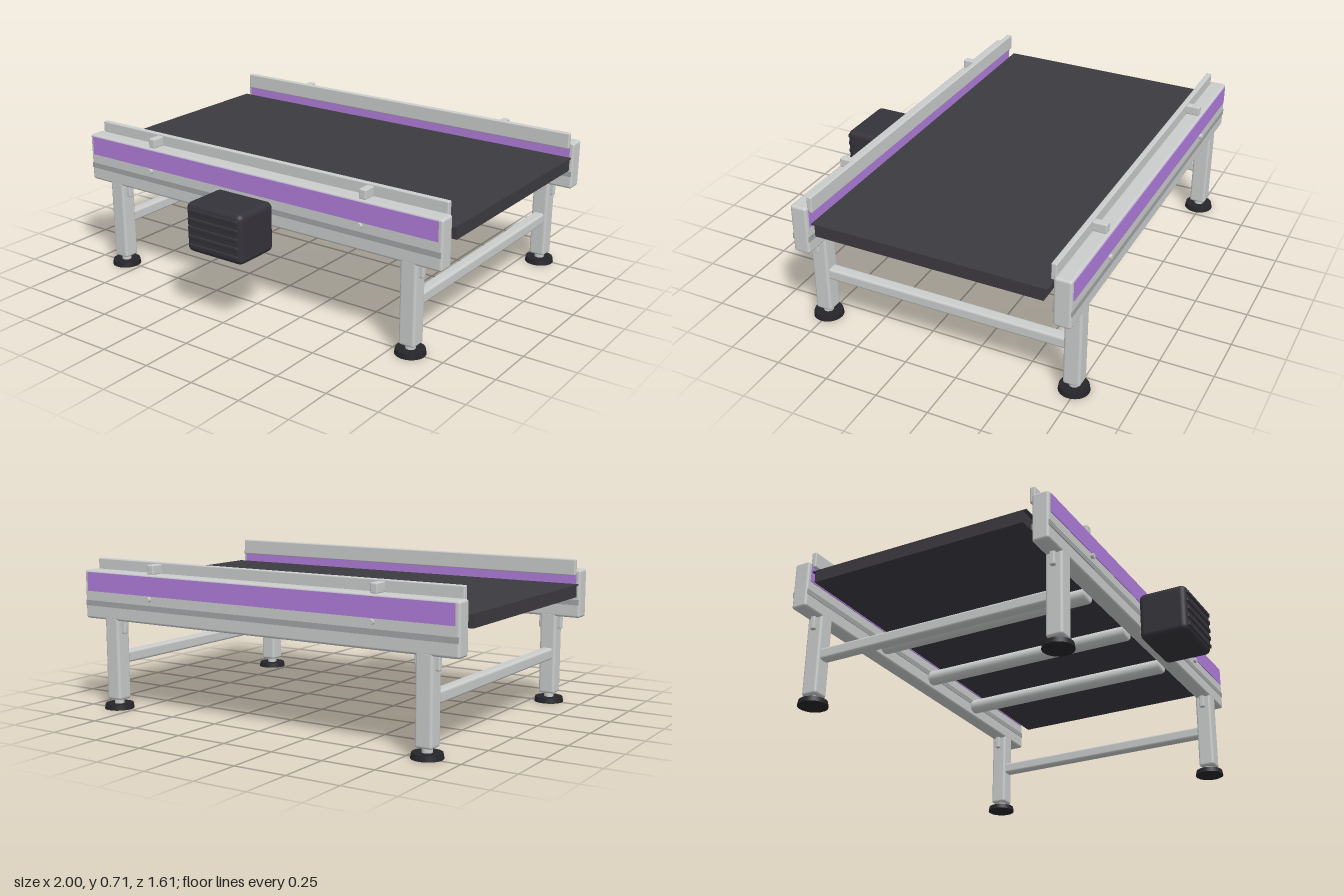
import * as THREE from 'three';
import { RoundedBoxGeometry } from 'three/addons/geometries/RoundedBoxGeometry.js';

const mat = (name, color) => {
  const m = new THREE.MeshStandardMaterial({ color });
  m.name = name;
  return m;
};

export function createModel() {
  const metal = mat('light metal', 0xcbcdcd);
  const groove = mat('groove grey', 0xa3a5a8);
  const purple = mat('purple trim', 0xb07ddb);
  const belt = mat('belt charcoal', 0x3c3a40);
  const motor = mat('motor charcoal', 0x35333a);
  const rubber = mat('foot black', 0x26252a);

  const root = new THREE.Group();
  root.name = 'conveyor';
  // the frame sits behind the origin because the motor hangs off the front
  const frame = new THREE.Group();
  frame.name = 'frame';
  frame.position.z = -0.117;
  root.add(frame);

  const add = (parent, name, geometry, material, x, y, z) => {
    const mesh = new THREE.Mesh(geometry, material);
    mesh.name = name;
    mesh.position.set(x, y, z);
    parent.add(mesh);
    return mesh;
  };
  const box = (w, h, d) => new THREE.BoxGeometry(w, h, d);
  const soft = (w, h, d, r) => new RoundedBoxGeometry(w, h, d, 3, r);
  const rodZ = (r, length) => new THREE.CylinderGeometry(r, r, length, 32).rotateX(Math.PI / 2);

  // belt bed with the slightly wider running surface on top
  add(frame, 'beltBed', box(1.998, 0.056, 1.08), belt, 0, 0.563, 0);
  add(frame, 'beltSurface', box(2, 0.006, 1.112), belt, 0, 0.592, 0);

  // side assemblies, mirrored front to back (s points outward)
  for (const s of [1, -1]) {
    const side = new THREE.Group();
    side.name = s > 0 ? 'frontSide' : 'backSide';
    frame.add(side);
    const z = s * 0.62;

    add(side, 'sideBeam', soft(2, 0.232, 0.08, 0.012), metal, 0, 0.544, z);
    for (const face of [1, -1]) {
      add(side, 'trimStrip', box(1.96, 0.09, 0.005), purple, 0, 0.605, z + face * 0.041);
      add(side, 'beamGroove', box(1.99, 0.026, 0.004), groove, 0, 0.503, z + face * 0.0405);
    }

    // guide rail held above the belt edge
    add(side, 'guideRail', soft(1.96, 0.078, 0.026, 0.006), metal, 0, 0.672, s * 0.573);
    for (const x of [-0.6, 0.6]) {
      add(side, 'guideBracket', soft(0.036, 0.046, 0.068, 0.006), metal, x, 0.681, s * 0.616);
      add(side, 'beamBolt', rodZ(0.012, 0.016), metal, x, 0.545, z + s * 0.046);
    }

    // legs with mounting plates and levelling feet
    for (const x of [-0.84, 0.84]) {
      const leg = new THREE.Group();
      leg.name = 'leg';
      leg.position.set(x, 0, z);
      side.add(leg);
      add(leg, 'legPost', soft(0.08, 0.4, 0.08, 0.012), metal, 0, 0.245, 0);
      add(leg, 'legPlate', soft(0.116, 0.08, 0.025, 0.006), metal, 0, 0.405, 0);
      add(leg, 'footStem', new THREE.CylinderGeometry(0.023, 0.023, 0.04, 24), metal, 0, 0.035, 0);
      add(leg, 'footPad', new THREE.CylinderGeometry(0.066, 0.07, 0.024, 40), rubber, 0, 0.012, 0);
    }
  }

  // bars tying each pair of legs together
  for (const x of [-0.84, 0.84])
    add(frame, 'legCrossbar', soft(0.055, 0.056, 1.18, 0.012), metal, x, 0.243, 0);

  // round supports below the belt
  const end = 0.56, r = 0.037, b = 0.012;
  const profile = [[0, -end], [r - b, -end], [r - b * 0.3, -end + b * 0.3], [r, -end + b],
    [r, end - b], [r - b * 0.3, end - b * 0.3], [r - b, end], [0, end]]
    .map(([px, py]) => new THREE.Vector2(px, py));
  for (const x of [-0.42, 0, 0.42])
    add(frame, 'crossSupport', new THREE.LatheGeometry(profile, 32).rotateX(Math.PI / 2), metal, x, 0.463, 0);

  // drive motor with its shaft housing and cooling ribs
  const drive = new THREE.Group();
  drive.name = 'driveMotor';
  drive.position.set(0, 0.447, 0.683);
  root.add(drive);
  add(drive, 'motorBody', soft(0.315, 0.236, 0.234, 0.028), motor, 0, 0, 0);
  add(drive, 'shaftHousing', rodZ(0.056, 0.06), metal, 0, 0, -0.13);
  for (let i = -2; i <= 2; i++)
    add(drive, 'coolingRib', soft(0.28, 0.02, 0.016, 0.005), motor, 0, i * 0.041, 0.116);

  return root;
}
